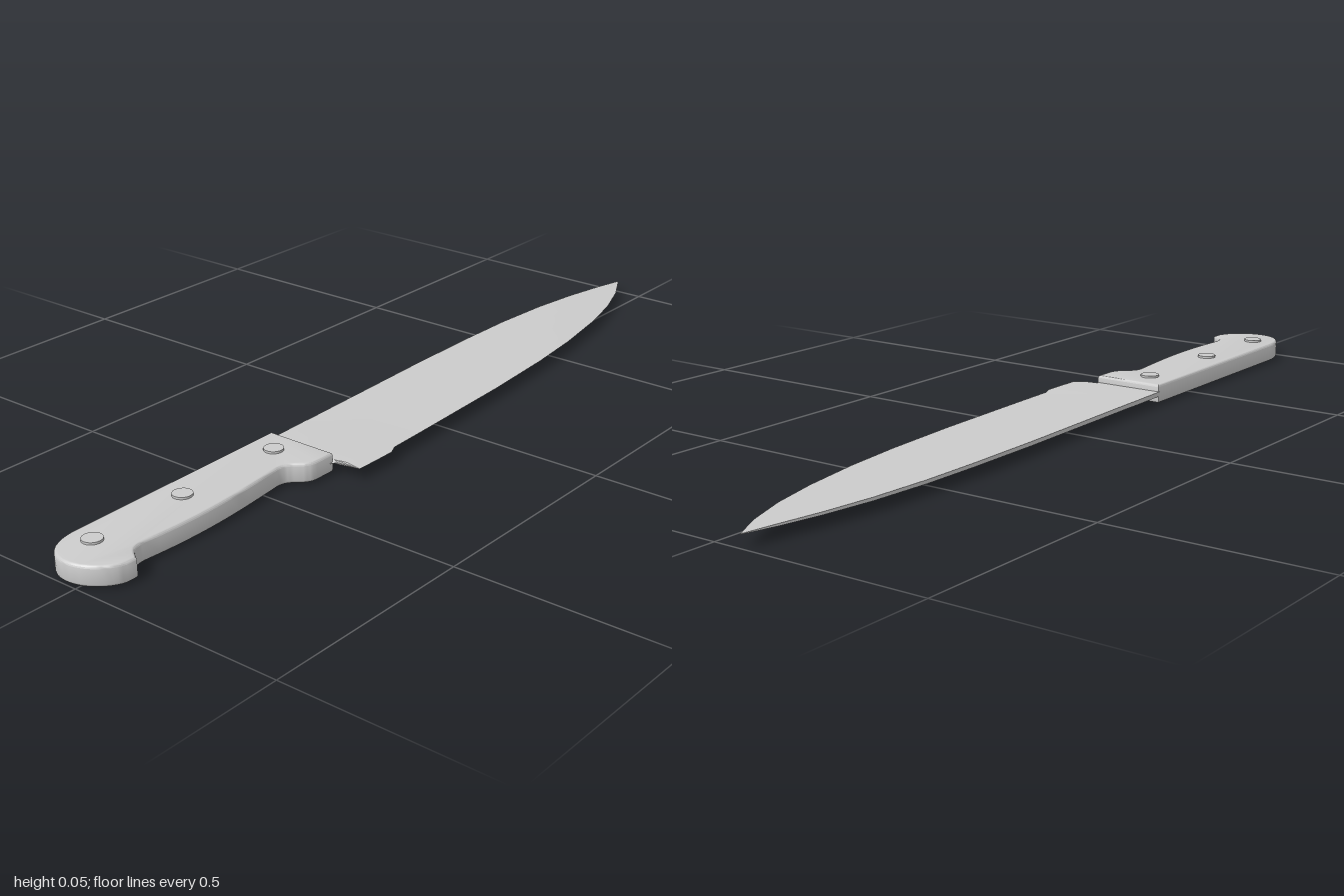
import * as THREE from 'three';
import { toCreasedNormals } from 'three/addons/utils/BufferGeometryUtils.js';

const MID = 0.0275; // height of the blade's centre plane
const material = new THREE.MeshStandardMaterial({ color: 0xcccccc });

function part(name, geometry) {
  const mesh = new THREE.Mesh(geometry, material);
  mesh.name = name;
  return mesh;
}

// Blade: closed cross-sections (spine, bevel ridge, edge) lofted along x
function bladeGeometry() {
  // x, spine z, ridge z, edge z, half thickness
  const stations = [
    [-0.36, -0.11, 0.03, 0.05, 0.0055],
    [-0.33, -0.115, 0.06, 0.07, 0.0055],
    [-0.325, -0.115, 0.09, 0.125, 0.0055],
    [-0.28, -0.116, 0.085, 0.126, 0.0055],
    [-0.22, -0.118, 0.03, 0.126, 0.0054],
    [-0.195, -0.118, 0.0, 0.115, 0.0053],
    [-0.1, -0.121, -0.02, 0.112, 0.0052],
    [0, -0.124, -0.02, 0.108, 0.005],
    [0.2, -0.13, -0.02, 0.1, 0.0048],
    [0.4, -0.132, -0.022, 0.086, 0.0045],
    [0.55, -0.13, -0.027, 0.069, 0.0042],
    [0.7, -0.12, -0.035, 0.043, 0.0038],
    [0.82, -0.104, -0.045, 0.013, 0.0032],
    [0.92, -0.085, -0.055, -0.024, 0.0025],
    [1, -0.068, -0.067, -0.066, 0.0008],
  ];
  const positions = [], indices = [], n = 5;
  for (const [x, spine, ridge, edge, t] of stations) {
    positions.push(
      x, MID + t, spine, x, MID + t * 0.85, ridge, x, MID, edge,
      x, MID - t * 0.85, ridge, x, MID - t, spine);
  }
  for (let s = 0; s < stations.length - 1; s++) {
    for (let i = 0; i < n; i++) {
      const a = s * n + i, b = s * n + (i + 1) % n;
      indices.push(a, b, b + n, a, b + n, a + n);
    }
  }
  // end caps
  const last = (stations.length - 1) * n;
  for (let i = 1; i < n - 1; i++) {
    indices.push(0, i + 1, i, last, last + i, last + i + 1);
  }
  const geometry = new THREE.BufferGeometry();
  geometry.setAttribute('position', new THREE.Float32BufferAttribute(positions, 3));
  geometry.setIndex(indices);
  return toCreasedNormals(geometry, 0.5);
}

// Handle: outline drawn in x and -z, extruded upward with softened edges
function handleGeometry() {
  const shape = new THREE.Shape();
  shape.moveTo(-0.335, 0.113);
  shape.lineTo(-0.9, 0.105);
  shape.bezierCurveTo(-0.965, 0.105, -1, 0.07, -1, 0.025);
  shape.bezierCurveTo(-1, -0.02, -0.965, -0.06, -0.93, -0.068);
  shape.lineTo(-0.905, -0.068);
  shape.bezierCurveTo(-0.89, -0.045, -0.885, -0.032, -0.85, -0.032);
  shape.bezierCurveTo(-0.7, -0.046, -0.6, -0.035, -0.46, -0.018);
  shape.bezierCurveTo(-0.42, -0.016, -0.425, -0.058, -0.385, -0.06);
  shape.lineTo(-0.335, -0.06);
  shape.closePath();
  const bevel = 0.006, bottom = 0.005, top = 0.05;
  const geometry = new THREE.ExtrudeGeometry(shape, {
    depth: top - bottom - 2 * bevel, curveSegments: 12,
    bevelThickness: bevel, bevelSize: bevel, bevelOffset: -bevel, bevelSegments: 3,
  });
  geometry.rotateX(-Math.PI / 2);
  geometry.translate(0, bottom + bevel, 0);
  return toCreasedNormals(geometry, 0.6);
}

export function createModel() {
  const knife = new THREE.Group();
  knife.name = 'kitchenKnife';
  knife.add(part('blade', bladeGeometry()), part('handle', handleGeometry()));

  // Rivets pass right through and stand slightly proud on both faces
  for (const x of [-0.91, -0.67, -0.4]) {
    const rivet = part('rivet', new THREE.CylinderGeometry(0.022, 0.022, 0.055, 24));
    rivet.position.set(x, MID, -0.047);
    knife.add(rivet);
  }
  return knife;
}
